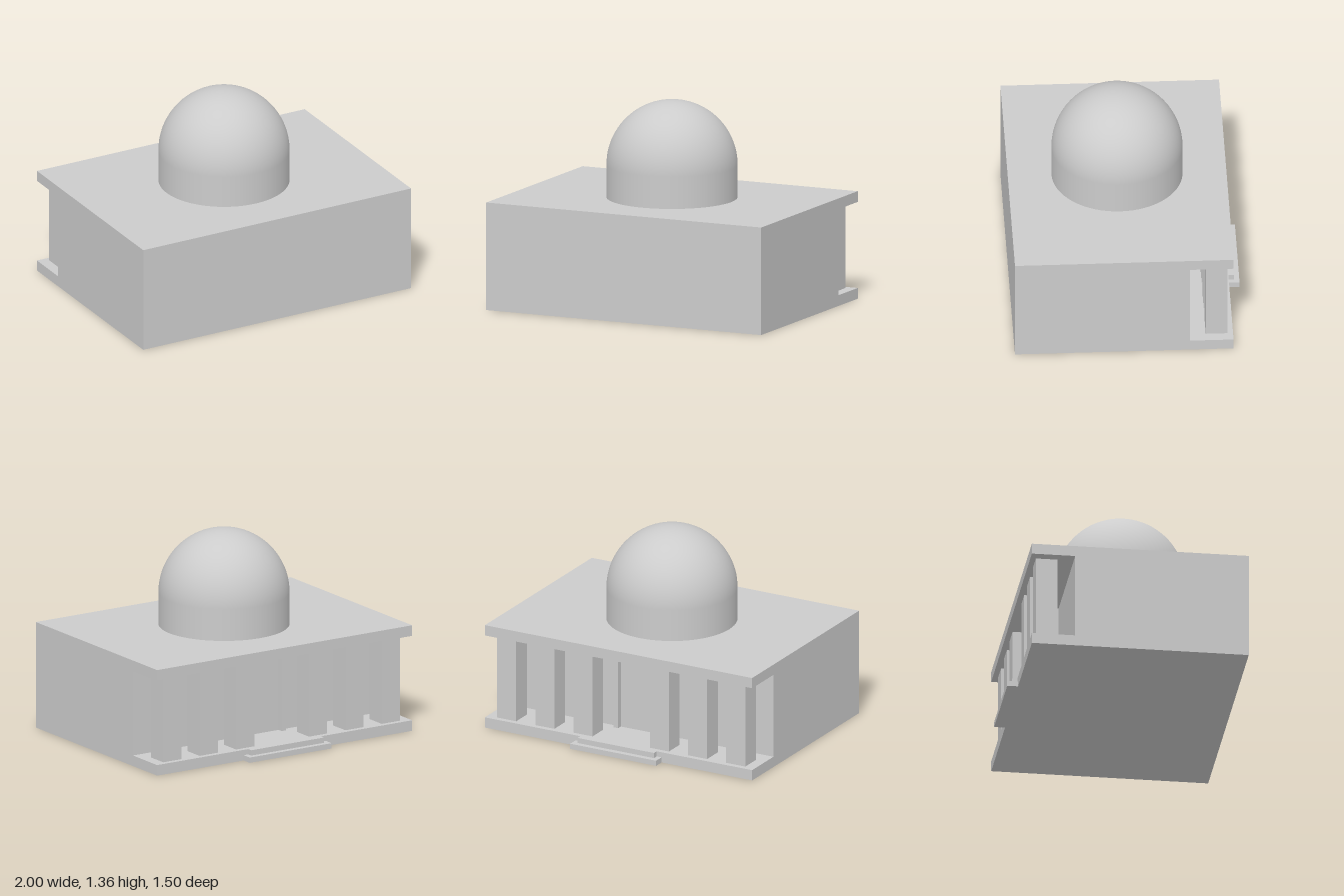
import * as THREE from 'three';

const U = 1 / 28; // building module: the model is 56 modules wide

export function createModel() {
  const group = new THREE.Group();
  const material = new THREE.MeshStandardMaterial({ color: 0xcccccc });

  const add = (name, geometry) => {
    const mesh = new THREE.Mesh(geometry, material);
    mesh.name = name;
    group.add(mesh);
    return mesh;
  };

  // Box given by its limits, in modules
  const block = (name, x0, x1, y0, y1, z0, z1) =>
    add(name, new THREE.BoxGeometry((x1 - x0) * U, (y1 - y0) * U, (z1 - z0) * U))
      .position.set((x0 + x1) / 2 * U, (y0 + y1) / 2 * U, (z0 + z1) / 2 * U);

  // Hall with porch floor and roof slab: one C-shaped side profile (z, y) run along x
  const profile = [[21, 0], [21, 20], [-19, 20], [-19, 18], [-11, 18], [-11, 2], [-19, 2], [-19, 0]];
  const shape = new THREE.Shape(profile.map(([z, y]) => new THREE.Vector2(z * U, y * U)));
  const hall = new THREE.ExtrudeGeometry(shape, { depth: 56 * U, bevelEnabled: false });
  hall.rotateY(-Math.PI / 2).translate(28 * U, 0, 0);
  add('hall', hall);

  // Porch columns and door posts, mirrored left and right
  for (const side of [-1, 1]) {
    for (const x of [8, 16, 24]) {
      block('porchColumn', side * x - 2, side * x + 2, 2, 18, -18, -14);
    }
    block('doorPost', side * 4.5 - 0.5, side * 4.5 + 0.5, 2, 18, -12, -11);
  }

  // Entrance steps
  block('lowerStep', -9, 9, 0, 1, -21, -19);
  block('upperStep', -8, 8, 1, 2, -20, -19);

  // Drum and dome on the roof
  const radius = 12 * U, drumHeight = 6 * U, domeZ = 1 * U;
  add('drum', new THREE.CylinderGeometry(radius, radius, drumHeight, 64, 1, true))
    .position.set(0, 20 * U + drumHeight / 2, domeZ);
  add('dome', new THREE.SphereGeometry(radius, 64, 24, 0, Math.PI * 2, 0, Math.PI / 2))
    .position.set(0, 20 * U + drumHeight, domeZ);

  return group;
}
